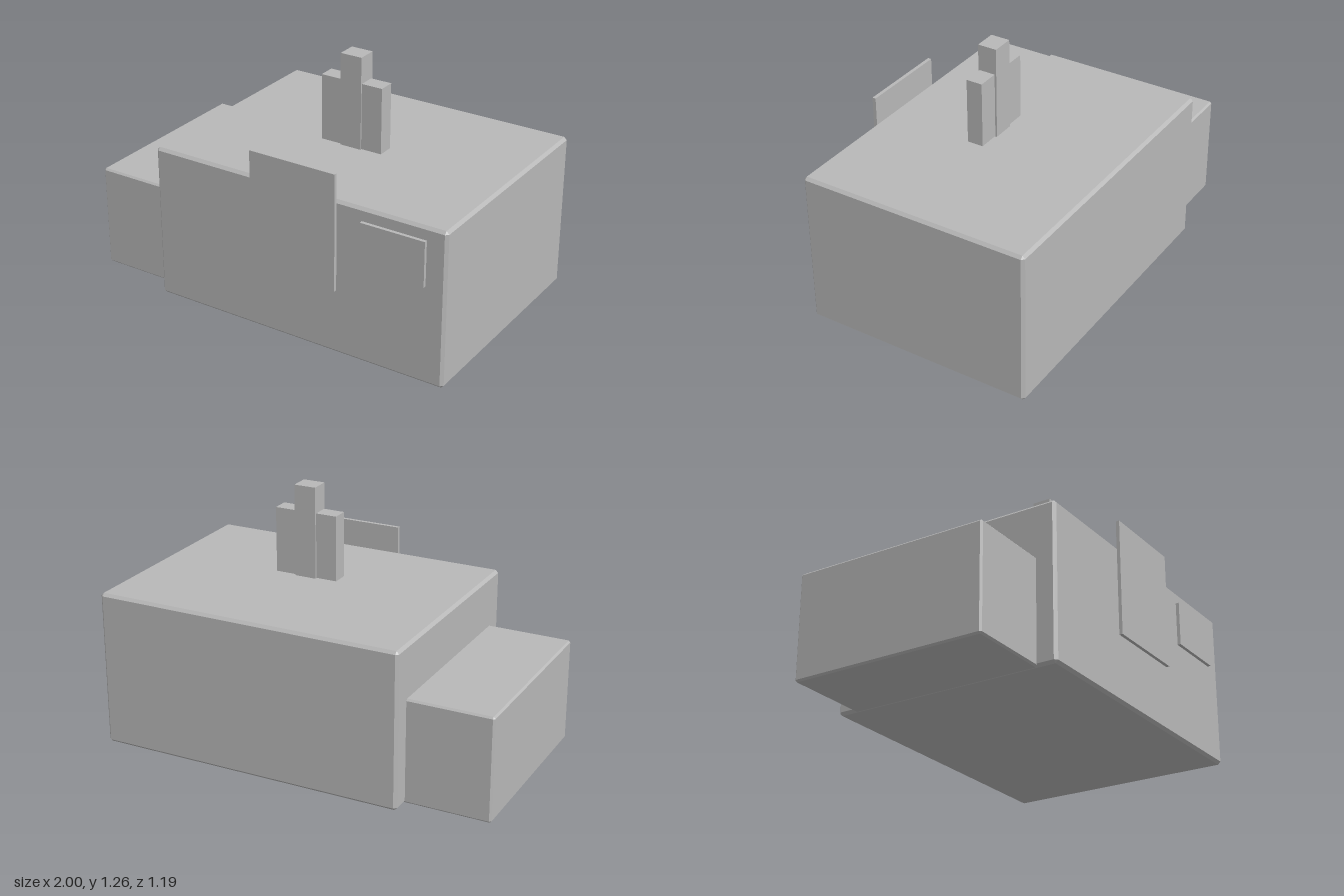
import * as THREE from 'three';
import { ConvexGeometry } from 'three/addons/geometries/ConvexGeometry.js';

// Box with one flat chamfer along every edge, from its min and max corners
function chamferedBox(min, max, c) {
  const points = [];
  for (const x of [0, 1]) for (const y of [0, 1]) for (const z of [0, 1]) {
    const side = [x, y, z];
    for (let face = 0; face < 3; face++) {
      const p = side.map((s, i) => {
        const inset = i === face ? 0 : c;
        return s ? max[i] - inset : min[i] + inset;
      });
      points.push(new THREE.Vector3(...p));
    }
  }
  return new ConvexGeometry(points);
}

// Plain box from its min and max corners
function plainBox(min, max) {
  const size = max.map((v, i) => v - min[i]);
  const mid = max.map((v, i) => (v + min[i]) / 2);
  return new THREE.BoxGeometry(...size).translate(...mid);
}

export function createModel() {
  const group = new THREE.Group();
  const grey = new THREE.MeshStandardMaterial({ color: 0xb8b8b8 });
  grey.name = 'grey';

  const add = (name, geometry) => {
    const mesh = new THREE.Mesh(geometry, grey);
    mesh.name = name;
    group.add(mesh);
  };

  // Building masses
  add('mainBlock', chamferedBox([-0.575, 0, -0.597], [1, 0.787, 0.58], 0.014));
  add('sideWing', chamferedBox([-1, 0, -0.502], [-0.56, 0.525, 0.48], 0.009));

  // Panels on the front wall
  add('tallFrontPanel', plainBox([-0.018, 0.332, 0.579], [0.44, 0.92, 0.597]));
  add('smallFrontPanel', plainBox([0.572, 0.497, 0.579], [0.9, 0.722, 0.597]));

  // Stepped pillars just above the roof
  add('centrePillar', plainBox([0.155, 0.803, 0.009], [0.267, 1.265, 0.106]));
  for (const [name, x] of [['rightPillar', 0.047], ['leftPillar', 0.267]]) {
    add(name, plainBox([x, 0.805, 0.018], [x + 0.108, 1.134, 0.1]));
  }

  return group;
}
